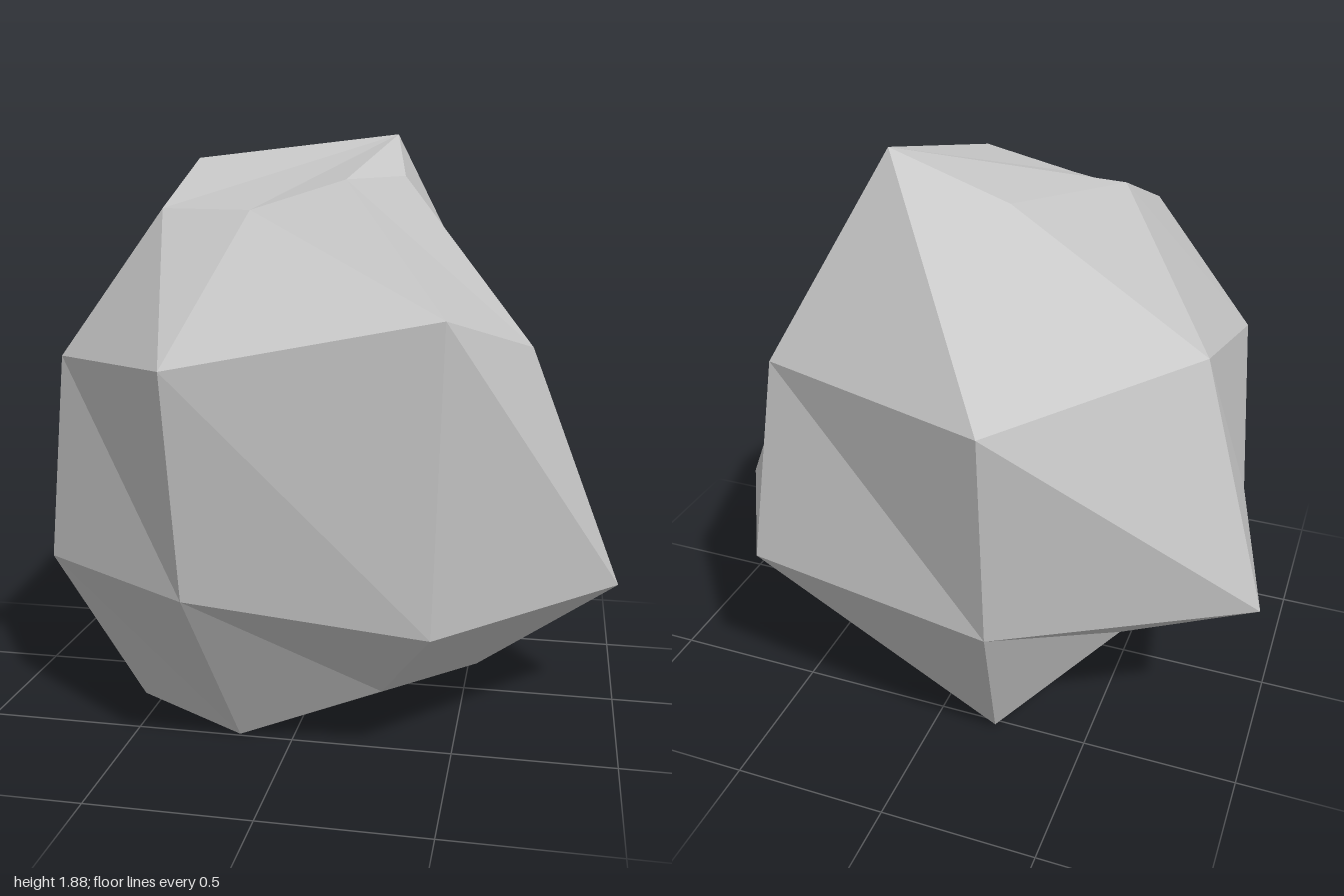
import * as THREE from 'three';

// Rings of the boulder from top to bottom, each running from +x round towards +z
const RINGS = [
  [[0.28, 1.74, 0.04], [0.13, 1.73, 0.29], [-0.15, 1.64, 0.37], [-0.47, 1.64, 0.23],
    [-0.455, 1.8, -0.145], [-0.15, 1.74, -0.27], [0.21, 1.88, -0.31]],
  [[0.7, 1.2, 0.04], [0.48, 1.36, 0.735], [-0.27, 1.23, 0.92], [-0.77, 1.18, 0.37],
    [-0.76, 1.36, -0.29], [-0.29, 1.34, -0.92], [0.47, 1.3, -0.635]],
  [[1, 0.42, 0.04], [0.45, 0.44, 0.705], [-0.25, 0.555, 0.83], [-0.815, 0.525, 0.4],
    [-1, 0.61, -0.405], [-0.28, 0.625, -0.84], [0.535, 0.64, -0.715]],
  [[0.545, 0.11, 0.04], [0.28, 0.18, 0.485], [-0.17, 0, 0.49], [-0.555, 0.015, 0.28],
    [-0.52, 0.21, -0.16], [-0.2, 0.01, -0.53], [0.21, 0.045, -0.28]],
];

export function createModel() {
  const group = new THREE.Group();
  group.name = 'boulder';
  const stone = new THREE.MeshStandardMaterial({ color: 0xc4c4c4 });
  stone.name = 'stone grey';

  const n = RINGS[0].length;
  const last = RINGS.length - 1;
  const positions = [];
  const tri = (...corners) => corners.forEach((p) => positions.push(...p));

  // Side facets, two triangles between neighbouring rings
  for (let r = 0; r < last; r++) {
    for (let i = 0; i < n; i++) {
      const j = (i + 1) % n;
      const a = RINGS[r][i], b = RINGS[r][j];
      const c = RINGS[r + 1][i], d = RINGS[r + 1][j];
      tri(a, b, c);
      tri(b, d, c);
    }
  }

  // Crown fans out from the peak, base from its first corner
  const top = RINGS[0], base = RINGS[last];
  for (let i = 0; i < n - 2; i++) tri(top[n - 1], top[i + 1], top[i]);
  for (let i = 1; i < n - 1; i++) tri(base[0], base[i], base[i + 1]);

  // Unshared corners give flat facets
  const geometry = new THREE.BufferGeometry();
  geometry.setAttribute('position', new THREE.Float32BufferAttribute(positions, 3));
  geometry.computeVertexNormals();

  const rock = new THREE.Mesh(geometry, stone);
  rock.name = 'rock';
  group.add(rock);
  return group;
}
